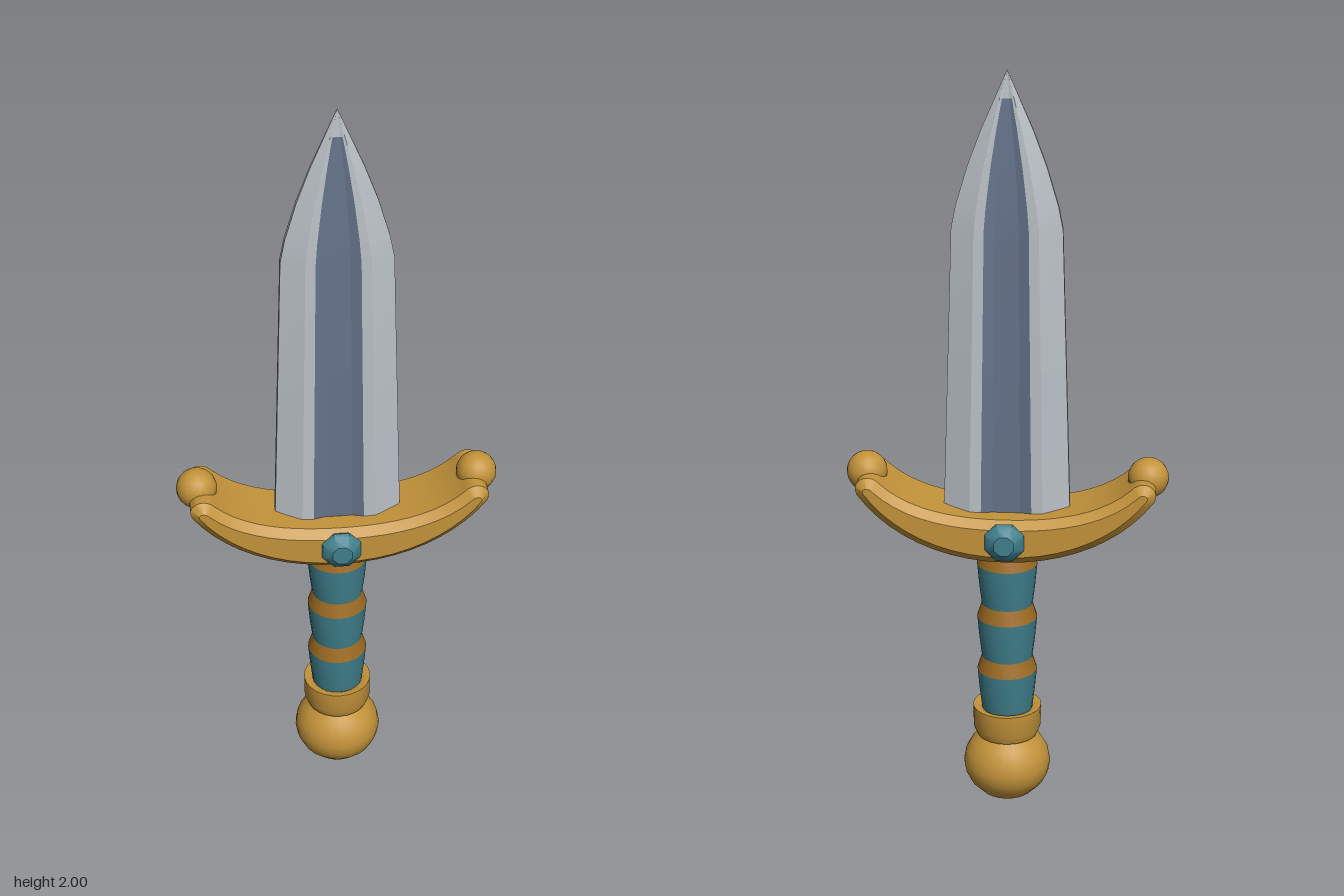
import * as THREE from 'three';
import { toCreasedNormals } from 'three/addons/utils/BufferGeometryUtils.js';

const paint = (name, color, extra = {}) => {
  const m = new THREE.MeshStandardMaterial({ color, ...extra });
  m.name = name;
  return m;
};

export function createModel() {
  const silver = paint('silver', 0xb9c0c5);
  const steel = paint('blueSteel', 0x65738a);
  const gold = paint('gold', 0xc3933a);
  const bronze = paint('bronze', 0x9c6a22);
  const teal = paint('teal', 0x3f7f8c);
  const model = new THREE.Group();

  const add = (name, geometry, material, x = 0, y = 0, z = 0) => {
    const mesh = new THREE.Mesh(geometry, material);
    mesh.name = name;
    mesh.position.set(x, y, z);
    model.add(mesh);
    return mesh;
  };
  const lathe = (points, segments = 24) => toCreasedNormals(
    new THREE.LatheGeometry(points.map(([r, y]) => new THREE.Vector2(r, y)), segments), 0.6);

  // Blade: one grooved cross-section scaled along the height
  const half = [[-1, 0.28], [-0.58, 1], [-0.4, 0.95], [-0.22, 0.72], [0.22, 0.72], [0.4, 0.95], [0.58, 1], [1, 0.28]];
  const section = [...half, ...half.map(([x, z]) => [-x, -z])];
  const rows = [ // height, half width, half depth
    [0.8, 0.168, 0.046], [1.2, 0.155, 0.042], [1.6, 0.142, 0.037], [1.66, 0.13, 0.034],
    [1.76, 0.1, 0.027], [1.85, 0.066, 0.019], [1.93, 0.031, 0.01], [2, 0.0005, 0.0005],
  ];
  const metal = [], groove = [];
  const point = (i, r) => {
    const [x, z] = section[i % section.length];
    return [x * rows[r][1], rows[r][0], z * rows[r][2]];
  };
  for (let r = 0; r < rows.length - 1; r++) {
    section.forEach((_, i) => {
      const k = i % half.length;
      const target = k >= 2 && k <= 4 && r < rows.length - 2 ? groove : metal;
      const a = point(i, r), b = point(i + 1, r), c = point(i + 1, r + 1), d = point(i, r + 1);
      target.push(...a, ...b, ...c, ...a, ...c, ...d);
    });
  }
  const faces = (list) => {
    const g = new THREE.BufferGeometry();
    g.setAttribute('position', new THREE.Float32BufferAttribute(list, 3));
    g.computeVertexNormals();
    return toCreasedNormals(g, 0.3);
  };
  add('blade', faces(metal), silver);
  add('bladeGroove', faces(groove), steel);

  // Guard: bevelled crescent with rounded tips
  const s = new THREE.Shape();
  s.moveTo(0, 0.72);
  s.bezierCurveTo(0.17, 0.72, 0.31, 0.79, 0.388, 0.9);
  s.bezierCurveTo(0.408, 0.94, 0.355, 0.965, 0.328, 0.932);
  s.bezierCurveTo(0.25, 0.86, 0.13, 0.84, 0, 0.84);
  s.bezierCurveTo(-0.13, 0.84, -0.25, 0.86, -0.328, 0.932);
  s.bezierCurveTo(-0.355, 0.965, -0.408, 0.94, -0.388, 0.9);
  s.bezierCurveTo(-0.31, 0.79, -0.17, 0.72, 0, 0.72);
  const bevel = 0.022;
  const guard = new THREE.ExtrudeGeometry(s, {
    depth: 0.216 - 2 * bevel, curveSegments: 10, bevelEnabled: true,
    bevelThickness: bevel, bevelSize: bevel, bevelOffset: -bevel, bevelSegments: 1,
  });
  guard.translate(0, 0, bevel - 0.108);
  add('guard', toCreasedNormals(guard, 0.5), gold);

  for (const side of [-1, 1]) {
    add(side > 0 ? 'leftGuardBall' : 'rightGuardBall',
      new THREE.SphereGeometry(0.054, 18, 12), gold, side * 0.371, 0.937, 0);
    // Faceted gem on each face of the guard
    const gem = lathe([[0.045, 0.09], [0.056, 0.108], [0.052, 0.118], [0.028, 0.137], [0, 0.137]], 8);
    gem.rotateY(Math.PI / 8);
    const mesh = add(side > 0 ? 'frontGem' : 'backGem', gem, teal, 0, 0.785, 0);
    mesh.rotation.x = side * Math.PI / 2;
  }

  // Grip: teal wraps that narrow downwards, parted by flared bands
  for (const [low, high] of [[0.26, 0.375], [0.415, 0.53], [0.57, 0.685]]) {
    const mid = (low + high) / 2;
    add('gripWrap', lathe([[0.069, low], [0.076, mid], [0.081, high]]), teal);
    add('gripBand', lathe([[0.081, high], [0.068, high + 0.041]]), bronze);
  }

  // Collar and pommel
  add('collar', lathe([[0, 0.182], [0.083, 0.182], [0.092, 0.205], [0.093, 0.266], [0.078, 0.266], [0.066, 0.258]]), gold);
  add('pommel', lathe([[0, 0.004], [0.07, 0.008], [0.1, 0.038], [0.114, 0.066], [0.119, 0.095],
    [0.113, 0.128], [0.096, 0.158], [0.07, 0.184]]), gold);
  add('pommelCap', lathe([[0, 0], [0.055, 0.001], [0.068, 0.01]]), gold);
  return model;
}
